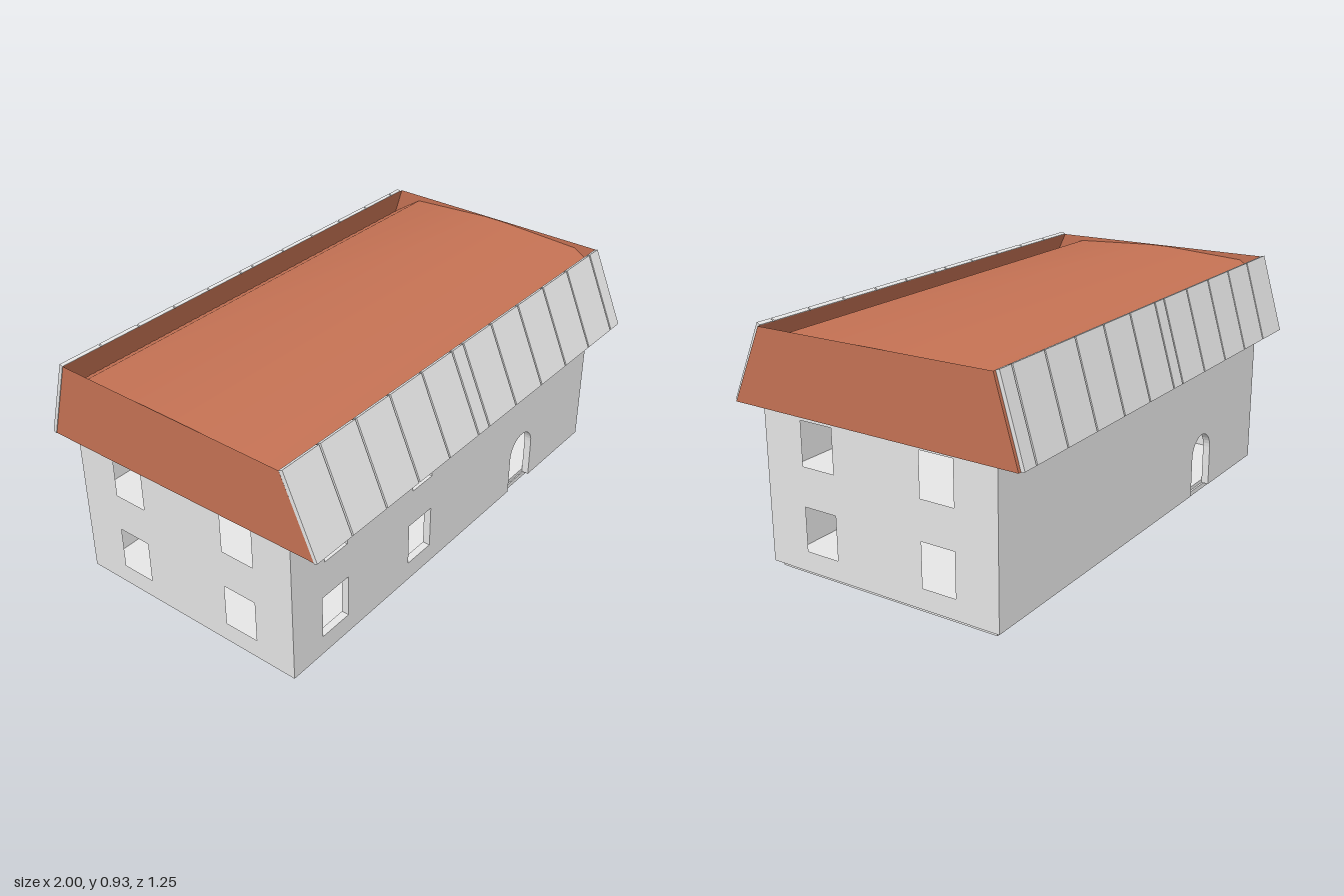
import * as THREE from 'three';

const plaster = new THREE.MeshStandardMaterial({ color: 0xe6e6e6 });
plaster.name = 'pale plaster';
const terracotta = new THREE.MeshStandardMaterial({ color: 0xc57254, side: THREE.DoubleSide });
terracotta.name = 'terracotta';

const polygon = (pts) => new THREE.Shape(pts.map(([a, b]) => new THREE.Vector2(a, b)));
const rect = (x0, x1, y0, y1) => [[x0, y0], [x1, y0], [x1, y1], [x0, y1]];

export function createModel() {
  const model = new THREE.Group();
  const add = (geometry, material, name) => {
    const mesh = new THREE.Mesh(geometry, material);
    mesh.name = name;
    model.add(mesh);
  };
  const box = (x0, x1, y0, y1, z0, z1, name) => {
    const g = new THREE.BoxGeometry(x1 - x0, y1 - y0, z1 - z0);
    g.translate((x0 + x1) / 2, (y0 + y1) / 2, (z0 + z1) / 2);
    add(g, plaster, name);
  };
  const extrude = (shape, depth) =>
    new THREE.ExtrudeGeometry(shape, { depth, bevelEnabled: false });
  // Profile given as [z, y], extruded along x from x0
  const alongX = (pts, x0, depth, holes = []) => {
    const shape = polygon(pts.map(([z, y]) => [-z, y]));
    holes.forEach((h) => shape.holes.push(polygon(h.map(([z, y]) => [-z, y]))));
    return extrude(shape, depth).rotateY(Math.PI / 2).translate(x0, 0, 0);
  };

  // Outer wall limits; the walls rise a little way inside the roof
  const X0 = -0.97, X1 = 0.985, Z0 = -0.522, Z1 = 0.485, Y0 = 0.02, Y1 = 0.7, T = 0.03;

  // Plinth and floors
  box(-0.95, 0.965, 0, Y0, -0.5, 0.46, 'plinth');
  box(X0 + T, X1 - T, Y0, 0.035, Z0 + T, Z1 - T, 'groundFloor');
  box(X0 + T, X1 - T, 0.34, 0.37, Z0 + T, Z1 - T, 'upperFloor');
  box(-0.01, 0.02, 0.37, 0.615, Z0 + T, Z1 - T, 'upperPartition');

  // Long walls, each with an arched doorway
  const longWall = (doorX, windows, z, name) => {
    const r = 0.081;
    const shape = polygon([
      [X0, Y0], [doorX - r, Y0], [doorX - r, 0.187],
      ...Array.from({ length: 15 }, (_, i) => {
        const a = Math.PI * (1 - (i + 1) / 16);
        return [doorX + r * Math.cos(a), 0.187 + r * Math.sin(a)];
      }),
      [doorX + r, 0.187], [doorX + r, Y0], [X1, Y0], [X1, Y1], [X0, Y1],
    ]);
    windows.forEach((w) => shape.holes.push(polygon(rect(...w))));
    add(extrude(shape, T).translate(0, 0, z), plaster, name);
  };
  longWall(0.493, [
    [-0.812, -0.668, 0.1, 0.277], [-0.304, -0.164, 0.1, 0.277],
    [-0.797, -0.673, 0.428, 0.588], [-0.287, -0.165, 0.428, 0.588],
  ], Z1 - T, 'frontWall');
  longWall(-0.48, [], Z0, 'backWall');

  // End walls with two windows on each storey
  const endWindows = [];
  for (const [z0, z1] of [[0.172, 0.314], [-0.347, -0.207]])
    for (const [y0, y1] of [[0.1, 0.273], [0.428, 0.6]]) endWindows.push(rect(z0, z1, y0, y1));
  for (const [x, name] of [[X1 - T, 'rightWall'], [X0, 'leftWall']])
    add(alongX(rect(Z0 + T, Z1 - T, Y0, Y1), x, T, endWindows), plaster, name);

  // Roof sheets run the full length along x
  const sheet = (pts, name) => {
    const pos = [], index = [];
    pts.forEach(([z, y], i) => {
      pos.push(-0.998, y, z, 0.998, y, z);
      const a = i * 2;
      if (i < pts.length - 1) index.push(a, a + 1, a + 2, a + 1, a + 3, a + 2);
    });
    const g = new THREE.BufferGeometry();
    g.setAttribute('position', new THREE.Float32BufferAttribute(pos, 3));
    g.setIndex(index);
    g.computeVertexNormals();
    add(g, terracotta, name);
  };
  const frontEave = [0.61, 0.618], frontRim = [0.475, 0.916];
  const backRim = [-0.517, 0.924], backEave = [-0.609, 0.61];
  sheet([frontEave, frontRim], 'frontRoofSlope');
  sheet([backRim, backEave], 'backRoofSlope');
  // Nearly flat deck that falls away softly behind both rims
  sheet([
    [0.5, 0.82], [0.38, 0.896], [0.03, 0.916],
    [-0.07, 0.917], [-0.42, 0.898], [-0.54, 0.82],
  ], 'roofDeck');

  // Gable ends
  for (const [x, name] of [[0.998, 'rightGable'], [-0.998, 'leftGable']]) {
    const g = new THREE.ShapeGeometry(
      polygon([frontEave, backEave, backRim, frontRim].map(([z, y]) => [-z, y])));
    add(g.rotateY(Math.PI / 2).translate(x, 0, 0), terracotta, name);
  }

  // Cladding panels: two runs of five full panels and a narrow one
  const frontPanel = [[0.612, 0.614], [0.624, 0.622], [0.491, 0.925], [0.476, 0.918]];
  const backPanel = [[-0.611, 0.608], [-0.625, 0.614], [-0.532, 0.929], [-0.518, 0.925]];
  for (const start of [-0.999, -0.003]) {
    for (let i = 0; i < 6; i++) {
      const width = (i < 5 ? 0.185 : 0.071) - 0.007;
      const x = start + i * 0.185;
      add(alongX(frontPanel, x, width), plaster, 'frontRoofPanel');
      add(alongX(backPanel, x, width), plaster, 'backRoofPanel');
    }
  }
  return model;
}
